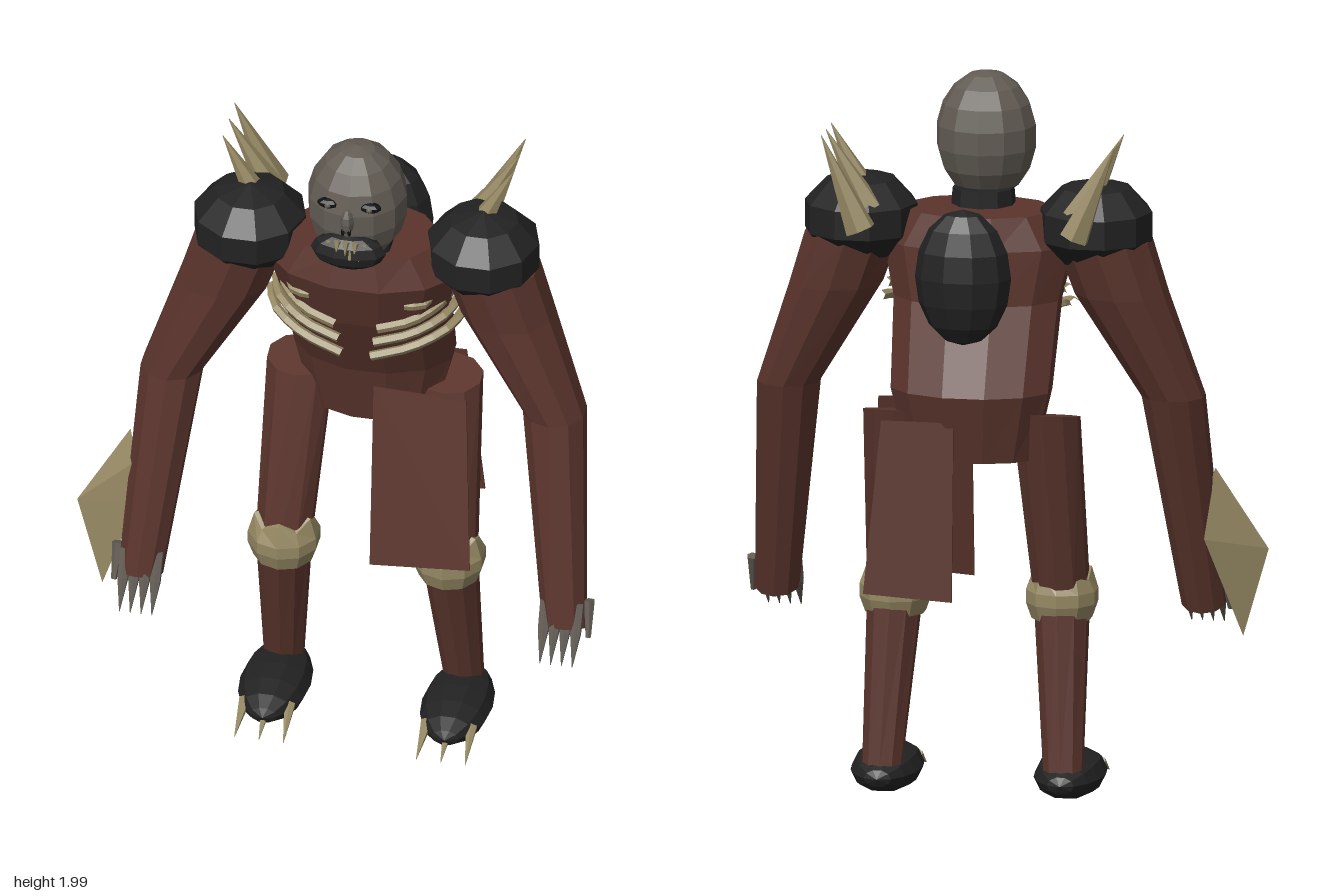
import * as THREE from 'three';
import { ConvexGeometry } from 'three/addons/geometries/ConvexGeometry.js';

const V = (x, y, z) => new THREE.Vector3(x, y, z);

function makeMaterial(name, color) {
  const m = new THREE.MeshStandardMaterial({ color, flatShading: true });
  m.name = name;
  return m;
}

// Closed skin over horizontal oval rings [x, y, z, rx, rz, tilt], listed bottom to top
function loft(rings, n) {
  const pos = [], idx = [];
  rings.forEach(([x, y, z, rx, rz, tilt = 0]) => {
    for (let i = 0; i < n; i++) {
      const a = ((i + 0.5) / n) * Math.PI * 2;
      pos.push(x + rx * Math.cos(a), y + tilt * Math.sin(a), z + rz * Math.sin(a));
    }
  });
  for (let j = 0; j < rings.length - 1; j++) {
    for (let i = 0; i < n; i++) {
      const a = j * n + i, b = j * n + ((i + 1) % n), c = b + n, d = a + n;
      idx.push(a, d, b, b, d, c);
    }
  }
  const top = (rings.length - 1) * n;
  for (let i = 1; i < n - 1; i++) {
    idx.push(0, i, i + 1, top, top + i + 1, top + i);
  }
  const g = new THREE.BufferGeometry();
  g.setAttribute('position', new THREE.Float32BufferAttribute(pos, 3));
  g.setIndex(idx);
  g.computeVertexNormals();
  return g;
}

export function createModel() {
  const model = new THREE.Group();
  model.name = 'armouredGhoul';
  const body = new THREE.Group();
  body.name = 'body';
  body.position.x = 0.05;
  model.add(body);

  const flesh = makeMaterial('redBrownFlesh', 0x5a342c);
  const black = makeMaterial('blackArmour', 0x222222);
  const bone = makeMaterial('bone', 0x958863);
  const grey = makeMaterial('greySkin', 0x625c54);
  const dark = makeMaterial('eyeBlack', 0x101010);

  const add = (name, geo, mat) => {
    const m = new THREE.Mesh(geo, mat);
    m.name = name;
    body.add(m);
    return m;
  };
  const oval = (name, mat, c, r, ws, hs) => {
    const m = add(name, new THREE.SphereGeometry(1, ws, hs), mat);
    m.position.set(...c);
    m.scale.set(...r);
    return m;
  };
  // Tapered rod from a to b
  const rod = (name, mat, a, b, ra, rb, n = 6) => {
    const m = add(name, new THREE.CylinderGeometry(rb, ra, a.distanceTo(b), n), mat);
    m.position.copy(a).lerp(b, 0.5);
    m.quaternion.setFromUnitVectors(V(0, 1, 0), b.clone().sub(a).normalize());
    return m;
  };

  // Torso
  add('torso', loft([
    [0, 0.975, -0.1, 0.18, 0.1],
    [0, 1.165, -0.1, 0.225, 0.143],
    [0, 1.4, 0.005, 0.235, 0.15],
    [0, 1.55, 0.035, 0.27, 0.168],
    [0, 1.64, 0.035, 0.205, 0.145],
  ], 12), flesh);
  oval('backHump', black, [0, 1.505, -0.235], [0.133, 0.19, 0.087], 10, 8);

  // Head and face
  add('neck', new THREE.CylinderGeometry(0.085, 0.095, 0.12, 10), black).position.set(0, 1.625, 0.09);
  oval('head', grey, [0, 1.82, 0.137], [0.139, 0.18, 0.139], 12, 9);
  oval('jaw', black, [0, 1.735, 0.262], [0.105, 0.055, 0.048], 10, 6);
  oval('nose', grey, [0, 1.84, 0.278], [0.019, 0.04, 0.022], 6, 6);
  for (const s of [-1, 1]) {
    oval('nostril', dark, [s * 0.009, 1.815, 0.293], [0.006, 0.012, 0.006], 5, 4);
    oval('eye', dark, [s * 0.058, 1.876, 0.248], [0.032, 0.015, 0.018], 8, 5);
    oval('pupil', grey, [s * 0.058, 1.876, 0.264], [0.009, 0.007, 0.005], 6, 4);
  }
  for (let i = -3; i <= 3; i++) {
    const x = i * 0.025, z = 0.308 - 0.0045 * i * i;
    const lift = -0.003 * i * i;
    rod('upperTooth', bone, V(x, 1.785 + lift, z - 0.012), V(x, 1.748 + lift, z), 0.011, 0.001, 5);
    if (i < 3) rod('lowerTooth', bone, V(x + 0.0125, 1.735 + lift, z - 0.006), V(x + 0.0125, 1.764 + lift, z - 0.006), 0.009, 0.001, 5);
  }

  for (const s of [-1, 1]) {
    const side = s > 0 ? 'left' : 'right';

    // Ribs wrapped round the chest
    for (let i = 0; i < 4; i++) {
      const inner = [0.04, 0.048, 0.058, 0.13][i], outer = 0.268 - i * 0.014;
      const yIn = [1.31, 1.358, 1.405, 1.485][i], yOut = 1.39 + i * 0.037;
      const path = new THREE.CatmullRomCurve3([
        V(s * inner, yIn, i === 3 ? 0.145 : 0.16),
        V(s * (inner + outer) / 2, (yIn + yOut) / 2 - 0.008, 0.135),
        V(s * (outer - 0.025), yOut - 0.012, 0.075),
        V(s * outer, yOut, 0.0),
      ]);
      add(side + 'Rib', new THREE.TubeGeometry(path, 7, 0.014, 5), bone);
    }

    // Shoulder armour and spikes
    oval(side + 'Shoulder', black, [s * 0.325, 1.61, 0.015], [0.163, 0.128, 0.163], 10, 5);
    rod(side + 'ShoulderSpike', bone, V(s * 0.31, 1.68, -0.005), V(s * 0.405, 1.868, -0.005), 0.036, 0.001);
    rod(side + 'ShoulderSpike', bone, V(s * 0.285, 1.65, -0.085), V(s * 0.405, 1.868, -0.085), 0.04, 0.001);
    rod(side + 'ShoulderSpike', bone, V(s * 0.295, 1.61, -0.17), V(s * 0.405, 1.868, -0.16), 0.043, 0.001);

    // Arm
    add(side + 'Arm', loft([
      [s * 0.59, 0.52, 0.205, 0.062, 0.058, 0.022],
      [s * 0.532, 1.13, 0.055, 0.088, 0.09],
      [s * 0.395, 1.42, 0.02, 0.13, 0.122],
      [s * 0.345, 1.57, 0.015, 0.135, 0.135],
    ], 10), flesh);

    // Clawed fingers and thumb
    for (const x of [0.54, 0.57, 0.6, 0.63]) {
      const knuckle = V(s * x, 0.525, 0.25);
      rod(side + 'Finger', grey, V(s * x, 0.6, 0.212), knuckle, 0.017, 0.016);
      rod(side + 'Claw', grey, knuckle, V(s * x, 0.445, 0.297), 0.016, 0.001);
    }
    rod(side + 'Thumb', grey, V(s * 0.655, 0.6, 0.19), V(s * 0.66, 0.5, 0.225), 0.017, 0.008);

    // Leg
    add(side + 'Leg', loft([
      [s * 0.25, 0.1, -0.08, 0.056, 0.05],
      [s * 0.23, 0.57, 0.015, 0.078, 0.085],
      [s * 0.205, 1.095, -0.095, 0.096, 0.078, -0.015],
    ], 10), flesh);

    // Knee guard with a jagged rim
    const knee = new THREE.LatheGeometry([
      [0.07, 0.5], [0.084, 0.505], [0.1, 0.55], [0.1, 0.585], [0.082, 0.62], [0.07, 0.625],
    ].map(([r, y]) => new THREE.Vector2(r, y)), 10);
    const p = knee.attributes.position;
    for (let i = 0; i < p.count; i++) {
      const spoke = Math.floor(i / 6) % 10;
      if (i % 6 >= 4 && spoke % 2 === 0) p.setY(i, p.getY(i) + 0.025);
    }
    add(side + 'KneeGuard', knee, bone).position.set(s * 0.23, 0, 0.017);

    // Foot and toe claws
    const foot = oval(side + 'Foot', black, [s * 0.253, 0.07, 0.02], [0.098, 0.178, 0.064], 10, 8);
    foot.rotation.x = Math.PI / 2;
    for (const t of [-1, 0, 1]) {
      const x = s * 0.253 + t * 0.062;
      rod(side + 'ToeClaw', bone, V(x, 0.078, 0.13), V(x + t * 0.006, 0.03, 0.243), 0.017, 0.001);
    }
  }

  // Hanging cloth panels
  const panel = (name, zTop, zBottom) => {
    const pts = [];
    for (const dz of [-0.003, 0.003]) {
      pts.push(V(0.022, 1.11, zTop + dz), V(0.28, 1.1, zTop + dz),
        V(0.31, 0.605, zBottom + dz), V(0.032, 0.585, zBottom + dz));
    }
    add(name, new ConvexGeometry(pts), flesh);
  };
  panel('frontCloth', 0.03, 0.13);
  const back = [];
  for (const dz of [-0.003, 0.003]) {
    back.push(V(0.03, 1.09, -0.215 + dz), V(0.23, 1.09, -0.215 + dz),
      V(0.275, 0.61, -0.243 + dz), V(0.03, 0.595, -0.243 + dz));
  }
  add('backCloth', new ConvexGeometry(back), flesh);

  // Bone blade on the right forearm
  add('forearmBlade', new ConvexGeometry([
    V(-0.64, 0.92, 0.1), V(-0.78, 0.69, 0.14), V(-0.705, 0.437, 0.165),
    V(-0.61, 0.86, 0.16), V(-0.61, 0.72, 0.17), V(-0.61, 0.72, 0.09),
  ]), bone);

  return model;
}
